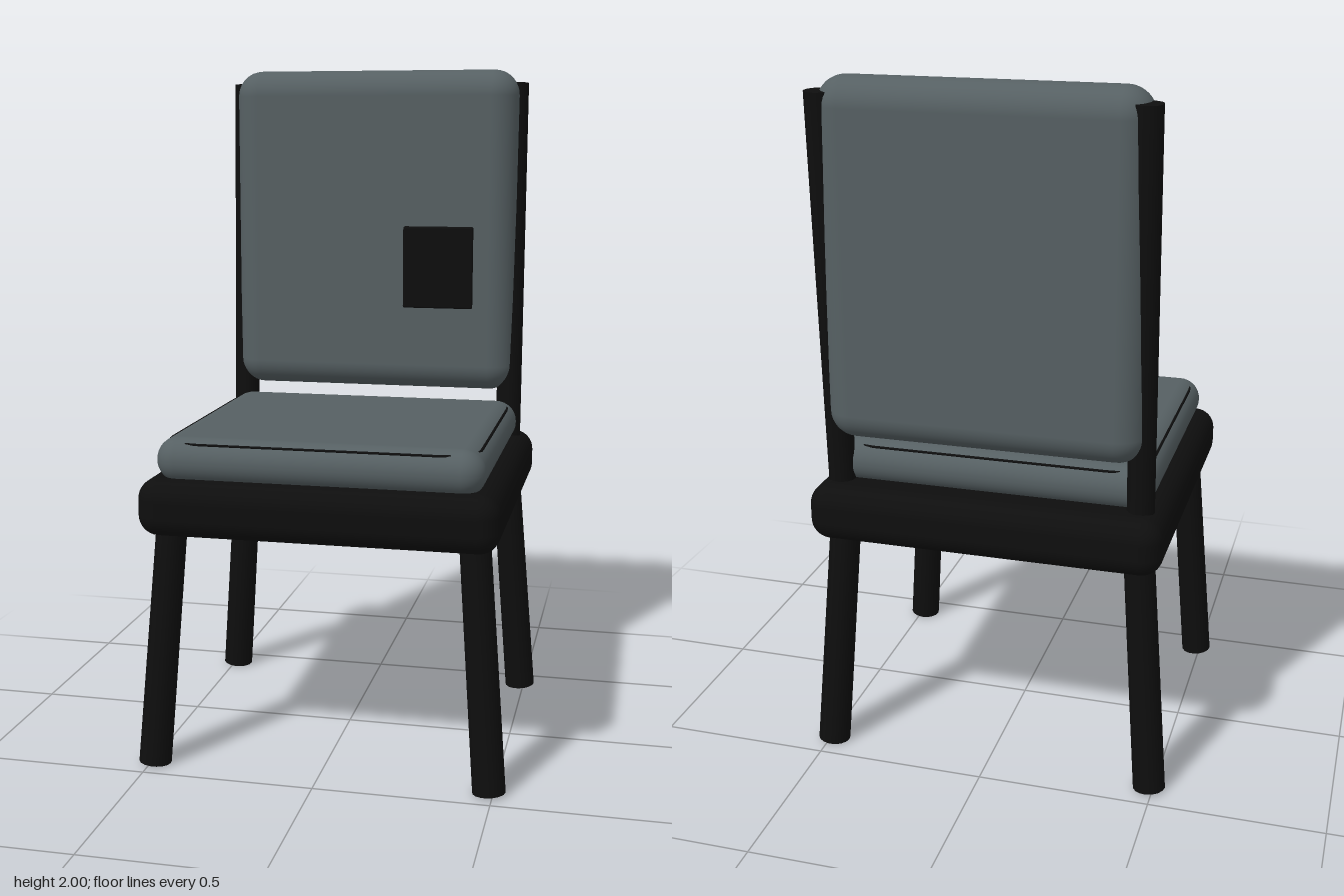
import * as THREE from 'three';
import { RoundedBoxGeometry } from 'three/addons/geometries/RoundedBoxGeometry.js';

export function createModel() {
  const chair = new THREE.Group();
  chair.name = 'diningChair';

  const black = new THREE.MeshStandardMaterial({ color: 0x0e0e0e });
  black.name = 'blackWood';
  const grey = new THREE.MeshStandardMaterial({ color: 0x566063 });
  grey.name = 'greyUpholstery';

  const add = (name, geometry, material) => {
    const mesh = new THREE.Mesh(geometry, material);
    mesh.name = name;
    chair.add(mesh);
    return mesh;
  };

  // Rounded block given by its centre, size and edge radius
  const block = (name, material, [x, y, z], [w, h, d], radius) =>
    add(name, new RoundedBoxGeometry(w, h, d, 5, radius), material).position.set(x, y, z);

  // Straight round bar between two points
  const bar = (name, from, to, bottomRadius, topRadius) => {
    const a = new THREE.Vector3(...from), b = new THREE.Vector3(...to);
    const axis = b.clone().sub(a);
    const mesh = add(name, new THREE.CylinderGeometry(topRadius, bottomRadius, axis.length(), 16), black);
    mesh.position.copy(a).add(b).multiplyScalar(0.5);
    mesh.quaternion.setFromUnitVectors(new THREE.Vector3(0, 1, 0), axis.normalize());
  };

  // Seat frame and cushions
  block('seatFrame', black, [0, 0.775, 0], [1.02, 0.165, 1], 0.06);
  block('seatCushion', grey, [0, 0.905, 0.032], [0.93, 0.13, 0.865], 0.064);
  block('backCushion', grey, [0, 1.5, -0.4], [0.9, 1, 0.16], 0.079);

  // Small plate in front of the backrest
  block('backPlate', black, [0.215, 1.393, -0.3], [0.22, 0.255, 0.014], 0.006);

  // Splayed legs and leaning back posts, mirrored left and right
  for (const [side, s] of [['left', 1], ['right', -1]]) {
    bar(side + 'FrontLeg', [s * 0.488, 0.004, 0.425], [s * 0.43, 0.76, 0.385], 0.047, 0.044);
    bar(side + 'BackLeg', [s * 0.488, 0.004, -0.418], [s * 0.43, 0.76, -0.382], 0.047, 0.044);
    bar(side + 'BackPost', [s * 0.435, 0.78, -0.385], [s * 0.435, 1.96, -0.436], 0.039, 0.039);
  }

  // Thin piping around the seat, its corners sinking into the cushion
  const w = 0.442, front = 0.441, back = -0.377, r = 0.11, y = 0.955;
  const v = (x, z) => new THREE.Vector3(x, y, z);
  const corners = [[w, front], [w, back], [-w, back], [-w, front]];
  const path = new THREE.CurvePath();
  const toward = (a, b) => v(...a).add(v(...b).sub(v(...a)).setLength(r));
  corners.forEach((c, i) => {
    const before = corners[(i + 3) % 4], after = corners[(i + 1) % 4];
    path.add(new THREE.QuadraticBezierCurve3(toward(c, before), v(...c), toward(c, after)));
    path.add(new THREE.LineCurve3(toward(c, after), toward(after, c)));
  });
  add('seatPiping', new THREE.TubeGeometry(path, 120, 0.004, 6, true), black);

  return chair;
}
